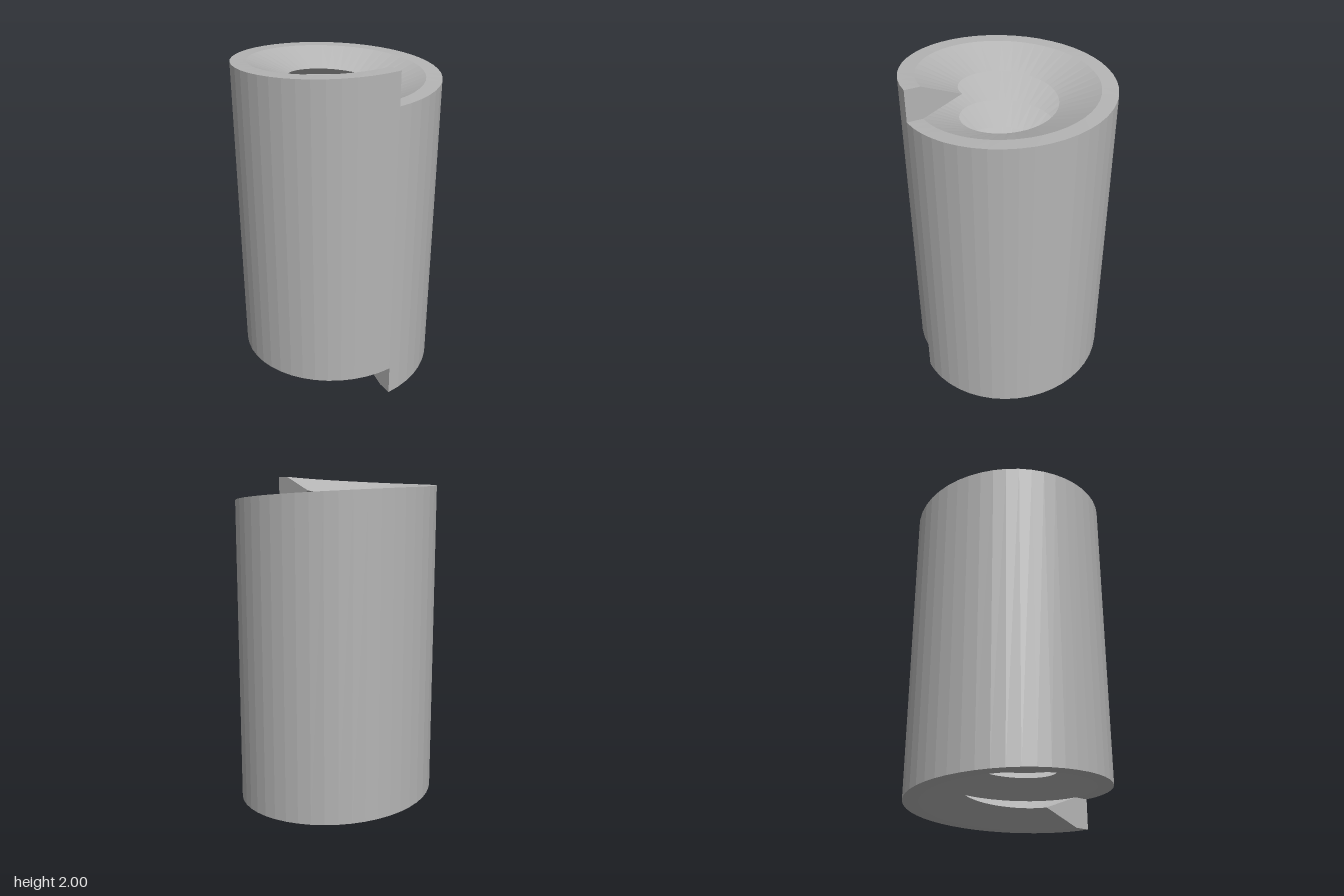
import * as THREE from 'three';

const TURNS = 10, SEG = 48;
const PITCH = 2 / (TURNS + 1);
const R_OUT = 0.59, R_ROOT = 0.5, R_TIP = 0.275;

// Point on a helix: radius, turn count t (0 = front, going towards +x), height offset
const helix = (r, t, h) => {
  const a = t * Math.PI * 2;
  return [r * Math.sin(a), PITCH * t + h, r * Math.cos(a)];
};

// Ribbon between two helical edges (a below/inside, b above/outside)
function ribbon(from, to, [ra, ha], [rb, hb]) {
  const pos = [];
  const n = Math.round((to - from) * SEG);
  for (let i = 0; i < n; i++) {
    const t0 = from + i / SEG, t1 = from + (i + 1) / SEG;
    const a0 = helix(ra, t0, ha), a1 = helix(ra, t1, ha);
    const b0 = helix(rb, t0, hb), b1 = helix(rb, t1, hb);
    pos.push(...a0, ...a1, ...b1, ...a0, ...b1, ...b0);
  }
  return toGeometry(pos);
}

// Flat wedge-shaped section closing one end of the coil
function endCap(t, flip) {
  const profile = [[R_OUT, 0], [R_ROOT, 0], [R_TIP, PITCH / 2], [R_ROOT, PITCH], [R_OUT, PITCH]];
  const p = profile.map(([r, h]) => helix(r, t, h));
  const pos = [];
  for (const [i, j, k] of [[0, 1, 3], [0, 3, 4], [1, 2, 3]]) {
    pos.push(...p[i], ...(flip ? p[k] : p[j]), ...(flip ? p[j] : p[k]));
  }
  return toGeometry(pos);
}

function toGeometry(pos) {
  const g = new THREE.BufferGeometry();
  g.setAttribute('position', new THREE.Float32BufferAttribute(pos, 3));
  g.computeVertexNormals();
  return g;
}

export function createModel() {
  const group = new THREE.Group();
  group.name = 'threadedSleeve';
  const grey = new THREE.MeshStandardMaterial({ color: 0xb4b4b4, side: THREE.DoubleSide });
  grey.name = 'grey';
  const add = (name, geometry) => {
    const mesh = new THREE.Mesh(geometry, grey);
    mesh.name = name;
    group.add(mesh);
  };

  // Outer wall, stepped at the front where the coil starts and ends
  add('outerWall', ribbon(0, 1, [R_OUT, 0], [R_OUT, TURNS * PITCH]));

  // Internal V thread: upper and lower flanks over every turn
  add('threadLowerFlank', ribbon(0, TURNS, [R_TIP, PITCH / 2], [R_ROOT, 0]));
  add('threadUpperFlank', ribbon(0, TURNS, [R_ROOT, PITCH], [R_TIP, PITCH / 2]));

  // Helical rims at both ends
  add('bottomRim', ribbon(0, 1, [R_ROOT, 0], [R_OUT, 0]));
  add('topRim', ribbon(TURNS - 1, TURNS, [R_OUT, PITCH], [R_ROOT, PITCH]));

  // Step faces at the front
  add('bottomStep', endCap(0, true));
  add('topStep', endCap(TURNS, false));
  return group;
}
